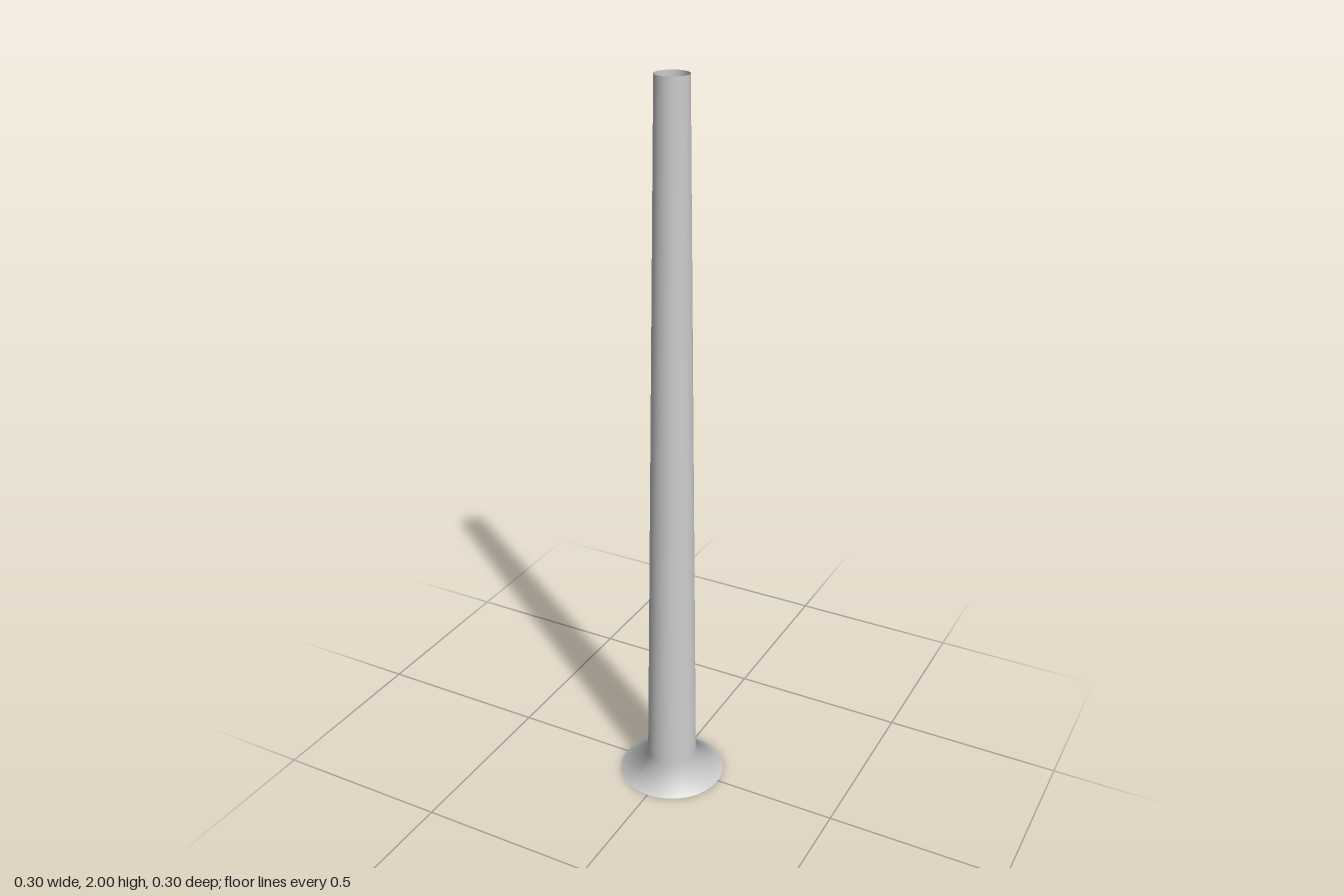
import * as THREE from 'three';

export function createModel() {
  const group = new THREE.Group();
  group.name = 'taperedPole';

  // Thin open shell: flared foot running smoothly into a tapering hollow shaft
  const profile = [
    [0.15, 0],
    [0.07, 0.06],
    [0.044, 2],
  ].map(([r, y]) => new THREE.Vector2(r, y));

  const material = new THREE.MeshStandardMaterial({ color: 0xcccccc, side: THREE.DoubleSide });
  const pole = new THREE.Mesh(new THREE.LatheGeometry(profile, 32), material);
  pole.name = 'flaredTube';
  group.add(pole);

  return group;
}
